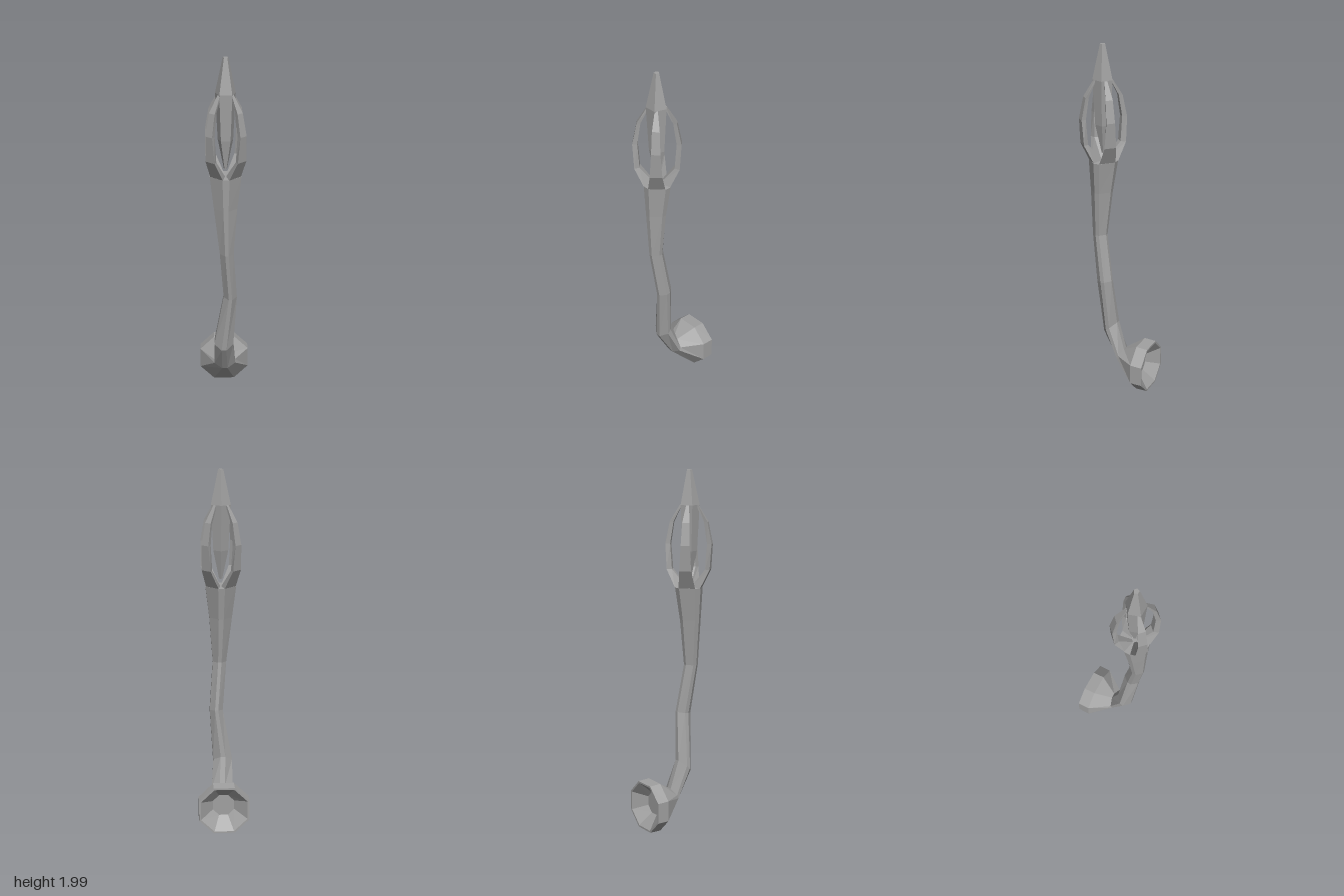
import * as THREE from 'three';

const V = (x, y, z) => new THREE.Vector3(x, y, z);

// Skin a list of equal-sized rings (counter-clockwise about the travel direction) and close both ends
function loft(rings) {
  const pos = [];
  const tri = (...pts) => pts.forEach((p) => pos.push(p.x, p.y, p.z));
  const n = rings[0].length;
  for (let k = 0; k < rings.length - 1; k++) {
    const a = rings[k], b = rings[k + 1];
    for (let i = 0; i < n; i++) {
      const j = (i + 1) % n;
      tri(a[i], a[j], b[j]);
      tri(a[i], b[j], b[i]);
    }
  }
  const first = rings[0], last = rings[rings.length - 1];
  for (let i = 1; i < n - 1; i++) {
    tri(first[0], first[i + 1], first[i]);
    tri(last[0], last[i], last[i + 1]);
  }
  const geo = new THREE.BufferGeometry();
  geo.setAttribute('position', new THREE.Float32BufferAttribute(pos, 3));
  geo.computeVertexNormals();
  return geo;
}

// Octagon with flats of half-width f (as a ratio) on its axes, tilted about x
function octagon([x, y, z, rx, rv, tilt, f]) {
  const front = V(0, -Math.sin(tilt), Math.cos(tilt));
  const corners = [[1, -f], [1, f], [f, 1], [-f, 1], [-1, f], [-1, -f], [-f, -1], [f, -1]];
  return corners.map(([u, v]) => V(x + u * rx, y, z).addScaledVector(front, v * rv));
}

export function createModel() {
  const group = new THREE.Group();
  const stone = new THREE.MeshStandardMaterial({ color: 0xa0a0a0, flatShading: true });
  stone.name = 'grey';
  const add = (name, geo, parent = group) => {
    const mesh = new THREE.Mesh(geo, stone);
    mesh.name = name;
    parent.add(mesh);
    return mesh;
  };

  // Crooked shaft bending backwards: x, y, z, half width, half depth, tilt, flat ratio
  const neck = [0.0, 0.183, -0.015, 0.06, 0.042, 1.12, 0.25];
  add('shaft', loft([
    [0, 1.36, 0.1, 0.085, 0.08, 0, 0.22],
    [0, 1.18, 0.11, 0.063, 0.061, 0, 0.22],
    [0.006, 0.92, 0.119, 0.038, 0.041, 0.05, 0.25],
    [0.027, 0.645, 0.08, 0.037, 0.045, 0.15, 0.25],
    [-0.008, 0.345, 0.057, 0.054, 0.054, 0.69, 0.25],
    neck,
  ].map(octagon)));

  // Flared cup at the foot, hollow towards the back
  const up = Math.PI / 2;
  add('footCup', loft([
    neck,
    [0, 0.145, -0.133, 0.14, 0.137, up, 0.42],
    [0, 0.143, -0.2, 0.14, 0.135, up, 0.42],
    [0, 0.143, -0.2, 0.13, 0.125, up, 0.42],
    [0, 0.15, -0.135, 0.06, 0.06, up, 0.42],
  ].map(octagon)));

  // Four curved prongs on the diagonals: y, outer radius, inner radius, outer and inner half width
  const prongSections = [
    [1.36, 0.07, 0.012, 0.046, 0.008],
    [1.46, 0.119, 0.092, 0.033, 0.02],
    [1.6, 0.128, 0.102, 0.024, 0.018],
    [1.72, 0.104, 0.084, 0.02, 0.014],
    [1.81, 0.05, 0.038, 0.008, 0.006],
  ];
  const cage = new THREE.Group();
  cage.name = 'cage';
  cage.position.z = 0.1;
  group.add(cage);
  const prongGeo = loft(prongSections.map(([y, ro, ri, wo, wi]) =>
    [V(ro, y, wo), V(ro, y, -wo), V(ri, y, -wi), V(ri, y, wi)]));
  for (let i = 0; i < 4; i++) {
    add('prong', prongGeo, cage).rotation.y = Math.PI / 4 + i * Math.PI / 2;
  }

  // Five-sided crystal held inside the cage: height, radius
  add('crystal', loft([[1.4, 0.009], [1.56, 0.043], [1.81, 0.057], [2, 0.015]].map(([y, r]) =>
    Array.from({ length: 5 }, (_, i) => {
      const a = Math.PI / 2 + (i * Math.PI * 2) / 5;
      return V(r * Math.cos(a), y, -r * Math.sin(a));
    }))), cage);

  return group;
}
